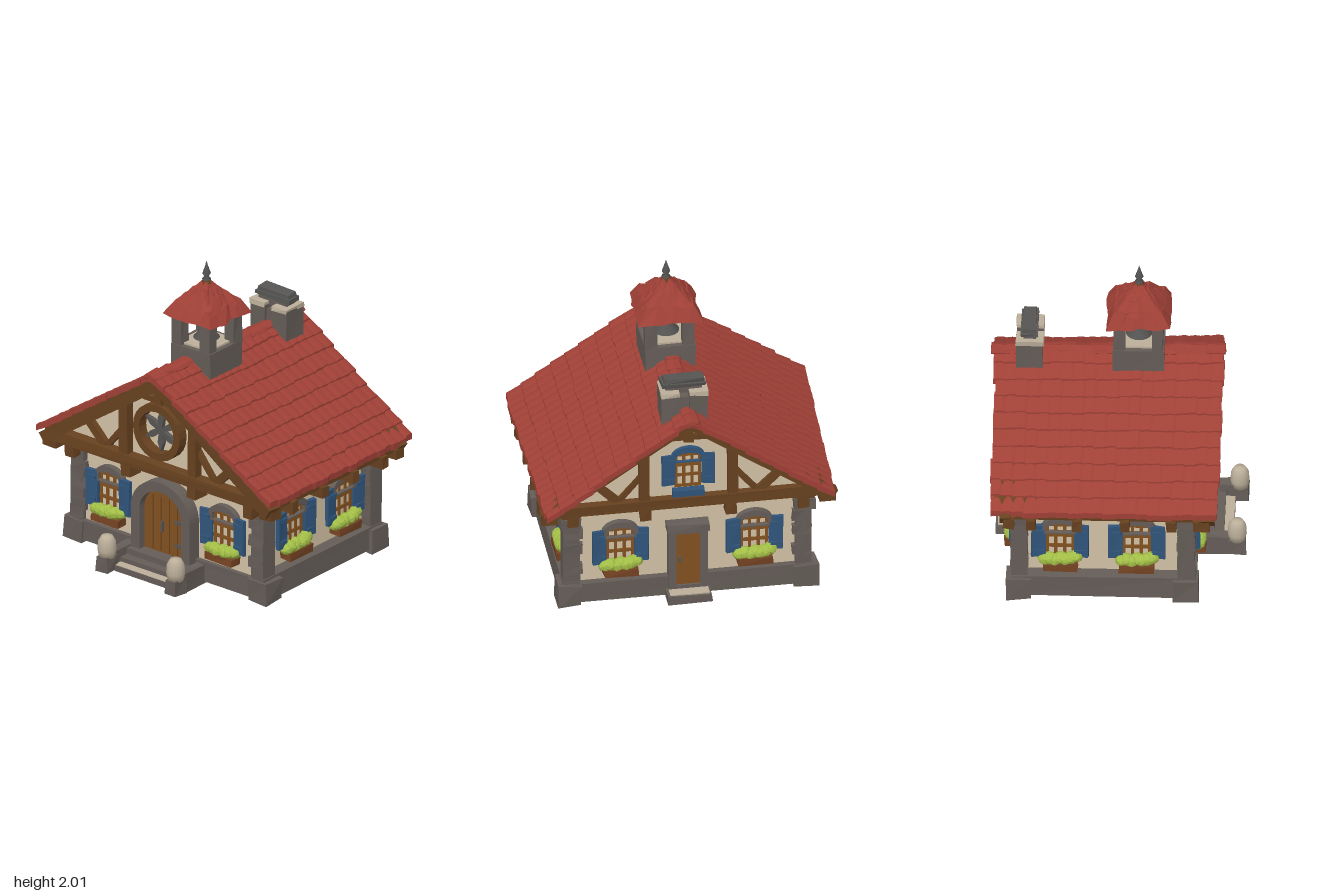
import * as THREE from 'three';

const mat = (name, color) => Object.assign(new THREE.MeshStandardMaterial({ color }), { name });
const M = {
  tile: mat('roof tile red', 0x9f4036), stone: mat('dark stone', 0x645c57), plaster: mat('cream plaster', 0xd2c1a5),
  pale: mat('pale stone', 0xbbae99), beam: mat('timber brown', 0x67411f), door: mat('door brown', 0x81501f),
  blue: mat('shutter blue', 0x30547a), leaf: mat('leaf green', 0xa1bd46), pot: mat('planter brown', 0x744222),
  iron: mat('iron grey', 0x565553),
};

// Repeatable value in -1..1
const hash = (a, b = 0, c = 0) => {
  const s = Math.sin(a * 127.1 + b * 311.7 + c * 74.7) * 43758.5453;
  return (s - Math.floor(s)) * 2 - 1;
};
let seed = 1;
// Hand-hewn look: shift corners a little, then facet
function rough(geo, amt) {
  const p = geo.attributes.position, k = seed++;
  for (let i = 0; i < p.count; i++) {
    const [x, y, z] = [p.getX(i), p.getY(i), p.getZ(i)].map(v => Math.round(v * 1000) / 1000 + 0);
    const h = x * 3.1 + y * 5.7 + z * 9.3 + k;
    p.setXYZ(i, x + amt * hash(h, 1), y + amt * hash(h, 2), z + amt * hash(h, 3));
  }
  const g = geo.index ? geo.toNonIndexed() : geo;
  g.computeVertexNormals();
  return g;
}
function add(parent, name, geo, material, x = 0, y = 0, z = 0) {
  const m = new THREE.Mesh(geo, material);
  m.name = name;
  m.position.set(x, y, z);
  parent.add(m);
  return m;
}
// Box given by its limits
function box(parent, name, material, x0, x1, y0, y1, z0, z1, amt = 0) {
  const g = new THREE.BoxGeometry(x1 - x0, y1 - y0, z1 - z0);
  return add(parent, name, amt ? rough(g, amt) : g, material, (x0 + x1) / 2, (y0 + y1) / 2, (z0 + z1) / 2);
}
// Beam between two points in the xy plane
function strut(parent, name, x1, y1, x2, y2, w, z0, z1) {
  const g = rough(new THREE.BoxGeometry(Math.hypot(x2 - x1, y2 - y1), w, z1 - z0), 0.004);
  add(parent, name, g, M.beam, (x1 + x2) / 2, (y1 + y2) / 2, (z0 + z1) / 2).rotation.z = Math.atan2(y2 - y1, x2 - x1);
}
const poly = pts => new THREE.Shape(pts.map(p => new THREE.Vector2(...p)));
const lathe = (pts, n) => new THREE.LatheGeometry(pts.map(p => new THREE.Vector2(...p)), n);
const extrude = (shape, depth) => new THREE.ExtrudeGeometry(shape, { depth, bevelEnabled: false, curveSegments: 12 });
// Upright outline with a rounded head
function arch(half, y0, spring, rise) {
  const s = new THREE.Shape();
  s.moveTo(-half, y0); s.lineTo(half, y0); s.lineTo(half, spring);
  s.absellipse(0, spring, half, rise, 0, Math.PI, false);
  s.lineTo(-half, y0);
  return s;
}
function archRing(outer, inner) {
  const s = arch(...outer);
  s.holes.push(arch(...inner));
  return s;
}
const roofY = x => 1.395 - 0.675 * Math.abs(x);

// Window facing +z with shutters and a flower box
function makeWindow(parent, x, z, turn, gable = false) {
  const g = new THREE.Group();
  g.name = gable ? 'gableWindow' : 'window';
  add(g, 'windowHead', extrude(archRing([0.115, 0.46, 0.5, 0.08], [0.085, 0.47, 0.5, 0.035]), 0.04), gable ? M.blue : M.stone);
  add(g, 'windowPane', extrude(arch(0.09, 0.26, 0.5, 0.035), 0.008), M.plaster);
  for (const bx of [-0.08, -0.028, 0.028, 0.08]) box(g, 'windowBar', M.door, bx - 0.01, bx + 0.01, 0.26, 0.53, 0, 0.016);
  for (const by of [0.27, 0.355, 0.435, 0.515]) box(g, 'windowBar', M.door, -0.09, 0.09, by - 0.011, by + 0.011, 0, 0.018);
  for (const s of [-1, 1]) {
    const sh = box(g, 'shutter', M.blue, s * 0.135 - 0.045, s * 0.135 + 0.045, 0.285, 0.525, 0.02, 0.045, 0.004);
    sh.rotation.y = -s * 0.15;
    for (const y of [0.33, 0.48]) box(g, 'shutterBatten', M.blue, s * 0.135 - 0.035, s * 0.135 + 0.035, y - 0.012, y + 0.012, 0.04, 0.054);
  }
  box(g, 'flowerBox', gable ? M.blue : M.pot, -0.11, 0.11, 0.2, 0.25, 0, 0.085, 0.006);
  if (!gable) {
    for (let i = 0; i < 7; i++) {
      const f = add(g, 'flowers', rough(new THREE.IcosahedronGeometry(0.042, 1), 0.003), M.leaf,
        -0.095 + i * 0.032, 0.278 + 0.012 * hash(i, 4), 0.046 + 0.014 * hash(i, 9));
      f.scale.set(1.1, 0.95, 1.1);
    }
    add(g, 'innerFrame', extrude(archRing([0.1, 0.25, 0.5, 0.05], [0.082, 0.27, 0.5, 0.032]), 0.008), M.door, 0, 0, -0.048);
  }
  g.position.set(x, 0, z);
  g.rotation.y = turn;
  parent.add(g);
  return g;
}

// Timber-framed gable facing +z, standing proud of the wall
function makeGable(parent, front) {
  const g = new THREE.Group();
  g.name = front ? 'frontGable' : 'backGable';
  add(g, 'gablePanel', extrude(poly([[-0.8, 0.71], [0.8, 0.71], [0.8, roofY(0.8) - 0.06], [0, 1.335], [-0.8, roofY(0.8) - 0.06]]), 0.06), M.plaster);
  box(g, 'tieBeam', M.beam, -0.86, 0.86, 0.685, 0.755, 0.03, 0.135, 0.005);
  box(g, 'innerTieBeam', M.beam, -0.67, 0.67, 0.68, 0.74, -0.075, -0.04);
  strut(g, 'kingPost', 0, 1.16, 0, 1.34, 0.06, 0.05, 0.12);
  strut(g, 'collar', -0.13, 1.185, 0.13, 1.185, 0.035, 0.05, 0.1);
  for (const s of [-1, 1]) {
    strut(g, 'rafter', 0, 1.31, s * 0.92, 0.684, 0.075, 0.05, 0.15);
    strut(g, 'post', s * 0.28, 0.73, s * 0.28, 1.14, 0.066, 0.05, 0.12);
    strut(g, 'brace', s * 0.63, 0.93, s * 0.45, 0.75, 0.055, 0.05, 0.1);
    strut(g, 'brace', s * 0.3, 0.92, s * 0.44, 0.75, 0.035, 0.05, 0.09);
    for (const x of [0.27, 0.73]) box(g, 'bracket', M.beam, s * x - 0.035, s * x + 0.035, 0.595, 0.7, 0, 0.11, 0.005);
    box(g, 'eaveBracket', M.beam, s * 0.88 - 0.05, s * 0.88 + 0.05, 0.63, 0.7, 0.02, 0.12, 0.005);
  }
  if (front) {
    const ring = new THREE.Shape().absarc(0, 0, 0.19, 0, Math.PI * 2);
    ring.holes.push(new THREE.Path().absarc(0, 0, 0.14, 0, Math.PI * 2));
    add(g, 'roundWindowFrame', extrude(ring, 0.08), M.beam, 0, 0.98, 0.05);
    const star = Array.from({ length: 24 }, (_, i) => {
      const a = i * Math.PI / 12 + Math.PI / 2, r = [0.145, 0.085, 0.028, 0.085][i % 4];
      return [r * Math.cos(a), r * Math.sin(a)];
    });
    add(g, 'roundWindowSpokes', extrude(poly(star), 0.03), M.iron, 0, 0.98, 0.06);
  } else {
    const w = makeWindow(g, 0, 0.06, 0, true);
    w.scale.setScalar(0.93);
    w.position.y = 0.575;
    g.rotation.y = Math.PI;
    g.scale.z = 0.7;
  }
  g.position.z = front ? 0.47 : -0.62;
  parent.add(g);
}

// One overlapping course of tiles on side s
function tileCourse(s, i, n) {
  const tiles = 20, per = 4, g = new THREE.BoxGeometry(1, 1, 1, 1, 1, tiles * per), p = g.attributes.position;
  for (let k = 0; k < p.count; k++) {
    const low = s * p.getX(k) > 0, top = p.getY(k) > 0, w = p.getZ(k) + 0.5;
    const tile = Math.min(tiles - 1, Math.floor(w * tiles + 0.01)), f = w * tiles - tile;
    const x = low ? (i + 1) * 0.935 / n + 0.012 + 0.005 * hash(tile, i, s) : i * 0.935 / n - (i ? 0.015 : 0);
    const y = roofY(x) + (low ? 0.011 : -0.004) - (top ? 0 : 0.04) + 0.005 * Math.sin(Math.PI * f) + 0.002 * hash(tile, s, i);
    const front = 0.66 - x * (s > 0 ? 0.05 : 0.02) + 0.008 * hash(i, s), back = -0.78 - (s > 0 ? x * 0.03 : 0) + 0.01 * hash(i, s, 5);
    p.setXYZ(k, s * x * (0.97 + 0.035 * w), y - 0.018 + 0.024 * w * w, back + (front - back) * w);
  }
  const out = g.toNonIndexed();
  out.computeVertexNormals();
  return out;
}

function makeTower(parent) {
  const t = new THREE.Group();
  t.name = 'bellTower';
  box(t, 'towerBase', M.stone, -0.16, 0.16, 1.22, 1.45, -0.16, 0.16, 0.006);
  box(t, 'towerLedge', M.pale, -0.125, 0.125, 1.445, 1.46, -0.125, 0.125);
  for (const sx of [-1, 1]) for (const sz of [-1, 1])
    box(t, 'towerPillar', M.stone, sx * 0.118 - 0.038, sx * 0.118 + 0.038, 1.44, 1.68, sz * 0.118 - 0.038, sz * 0.118 + 0.038, 0.006);
  for (let i = 0; i < 4; i++) {
    const s = poly([[-0.1, 1.585], [-0.085, 1.585]]);
    s.absellipse(0, 1.585, 0.085, 0.055, Math.PI, 0, true);
    s.lineTo(0.1, 1.585); s.lineTo(0.1, 1.68); s.lineTo(-0.1, 1.68);
    const g = extrude(s, 0.04);
    g.translate(0, 0, 0.1);
    add(t, 'towerArch', g, M.stone).rotation.y = i * Math.PI / 2;
  }
  box(t, 'bellBeam', M.beam, -0.12, 0.12, 1.615, 1.64, -0.015, 0.015);
  const bell = [[0, 1.55], [0.07, 1.48], [0.084, 1.48], [0.052, 1.515], [0.044, 1.56], [0.032, 1.59], [0.012, 1.6], [0.01, 1.63]];
  add(t, 'bell', lathe(bell, 20), M.iron);
  add(t, 'clapper', new THREE.SphereGeometry(0.02, 10, 8), M.iron, 0, 1.48, 0);
  // Square courses narrowing upward
  [[0.212, 0.155, 1.645, 1.735], [0.172, 0.1, 1.71, 1.785], [0.12, 0.06, 1.76, 1.83], [0.075, 0.018, 1.805, 1.87]].forEach(([r0, r1, y0, y1], j) => {
    const g = new THREE.CylinderGeometry(r1, r0, y1 - y0, 24), p = g.attributes.position;
    for (let k = 0; k < p.count; k++) {
      const x = p.getX(k), z = p.getZ(k), r = Math.hypot(x, z), m = Math.max(Math.abs(x), Math.abs(z));
      if (m > 1e-5) p.setXYZ(k, x * r / m * 0.95, p.getY(k), z * r / m * 0.95);
    }
    add(t, 'towerRoofCourse', rough(g, 0.011 - j * 0.002), M.tile, 0, (y0 + y1) / 2, 0);
  });
  add(t, 'finial', lathe([[0.024, 1.85], [0.028, 1.88], [0.014, 1.895], [0.027, 1.915], [0.012, 1.96], [0, 2]], 8), M.iron);
  add(t, 'finialCollar', new THREE.CylinderGeometry(0.022, 0.036, 0.03, 8), M.beam, 0, 1.865, 0);
  t.position.set(0.012, 0, 0.122);
  parent.add(t);
}

export function createModel() {
  const house = new THREE.Group();
  house.name = 'house';

  // Open stone footing, plaster walls and corner pillars
  for (const s of [-1, 1]) {
    box(house, 'sideFooting', M.stone, s * 0.74 - 0.055, s * 0.74 + 0.055, 0.01, 0.165, -0.66, 0.5, 0.006);
    box(house, 'sideWall', M.plaster, s * 0.69 - 0.02, s * 0.69 + 0.02, 0.1, 0.86, -0.61, 0.46);
    box(house, 'innerWallPlate', M.beam, s * 0.655 - 0.017, s * 0.655 + 0.017, 0.68, 0.74, -0.58, 0.43);
    for (const z of [0.44, -0.605]) {
      box(house, 'cornerBlock', M.stone, s * 0.75 - 0.075, s * 0.75 + 0.075, 0, 0.15, z - 0.08, z + 0.08, 0.008);
      box(house, 'cornerPillar', M.stone, s * 0.735 - 0.053, s * 0.735 + 0.053, 0.14, 0.6, z - 0.053, z + 0.053, 0.005);
      for (const y of [0.22, 0.37, 0.48])
        box(house, 'quoin', M.stone, s * 0.723 - 0.06, s * 0.723 + 0.06, y, y + 0.07, z - 0.056, z + 0.056, 0.006);
      box(house, 'pillarCap', M.stone, s * 0.74 - 0.066, s * 0.74 + 0.066, 0.56, 0.64, z - 0.066, z + 0.066, 0.006);
      box(house, 'pillarBlock', M.beam, s * 0.74 - 0.06, s * 0.74 + 0.06, 0.63, 0.72, z - 0.06, z + 0.06);
    }
    box(house, 'eavePurlin', M.beam, s * 0.86 - 0.045, s * 0.86 + 0.045, 0.675, 0.74, -0.7, 0.6, 0.005);
    for (const z of [0.35, 0.06, -0.24, -0.53]) box(house, 'eaveBracket', M.beam, s * 0.815 - 0.115, s * 0.815 + 0.115, 0.615, 0.69, z - 0.03, z + 0.03, 0.005);
    for (const z of [0.13, -0.35]) makeWindow(house, s * 0.71, z, s * Math.PI / 2);
    makeWindow(house, s * 0.465, 0.47, 0);
    makeWindow(house, s * 0.425, -0.62, Math.PI);
  }
  box(house, 'frontFooting', M.stone, -0.79, 0.79, 0.01, 0.15, 0.4, 0.5, 0.006);
  box(house, 'backFooting', M.stone, -0.79, 0.79, 0.01, 0.15, -0.67, -0.57, 0.006);
  const wall = poly([[-0.7, 0.1], [0.7, 0.1], [0.7, 0.86], [0, 1.335], [-0.7, 0.86]]);
  add(house, 'frontWall', extrude(wall, 0.04), M.plaster, 0, 0, 0.43);
  add(house, 'backWall', extrude(wall, 0.04), M.plaster, 0, 0, -0.62);
  makeGable(house, true);
  makeGable(house, false);

  // Arched front door, with its inner stone rim
  add(house, 'doorArch', extrude(archRing([0.24, 0.1, 0.4, 0.22], [0.17, 0.12, 0.4, 0.155]), 0.1), M.stone, 0, 0, 0.46);
  add(house, 'innerDoorArch', extrude(archRing([0.21, 0.1, 0.4, 0.19], [0.17, 0.12, 0.4, 0.155]), 0.015), M.stone, 0, 0, 0.418);
  add(house, 'frontDoor', extrude(arch(0.172, 0.11, 0.4, 0.157), 0.09), M.door, 0, 0, 0.42);
  for (const x of [-0.1, -0.035, 0.035, 0.1]) for (const z of [0.417, 0.51])
    box(house, 'plankSeam', M.beam, x - 0.003, x + 0.003, 0.13, 0.5, z, z + 0.004);
  for (const y of [0.2, 0.36]) box(house, 'doorHinge', M.iron, 0.08, 0.165, y - 0.012, y + 0.012, 0.51, 0.519);
  box(house, 'doorHandle', M.iron, -0.025, -0.01, 0.27, 0.34, 0.51, 0.53);

  // Front steps with rounded end stones
  [[0.6, 0.12], [0.66, 0.08], [0.72, 0.045]].forEach(([z, h]) => box(house, 'frontStep', M.stone, -0.25, 0.25, 0.005, h, 0.48, z));
  box(house, 'lowerTread', M.pale, -0.245, 0.245, 0.045, 0.049, 0.66, 0.718);
  for (const s of [-1, 1]) {
    box(house, 'stepCheek', M.stone, s * 0.28 - 0.035, s * 0.28 + 0.035, 0.005, 0.13, 0.48, 0.7, 0.006);
    box(house, 'endStoneBase', M.stone, s * 0.28 - 0.045, s * 0.28 + 0.045, 0.01, 0.11, 0.69, 0.8, 0.006);
    const cap = lathe([[0, 0.09], [0.05, 0.1], [0.06, 0.15], [0.056, 0.21], [0.036, 0.245], [0, 0.252]], 14);
    add(house, 'endStone', cap, M.pale, s * 0.28, 0, 0.745);
  }

  // Back door and step
  const frame = poly([[-0.125, 0.06], [0.125, 0.06], [0.125, 0.53], [-0.125, 0.53]]);
  frame.holes.push(poly([[-0.075, 0.09], [0.075, 0.09], [0.075, 0.47], [-0.075, 0.47]]));
  add(house, 'backDoorFrame', extrude(frame, 0.09), M.stone, 0, 0, -0.69);
  box(house, 'backDoor', M.door, -0.08, 0.08, 0.08, 0.48, -0.676, -0.57);
  box(house, 'backDoorHandle', M.iron, 0.045, 0.06, 0.26, 0.3, -0.69, -0.67);
  box(house, 'backDoorLintel', M.stone, -0.135, 0.135, 0.49, 0.54, -0.695, -0.61, 0.005);
  box(house, 'backStep', M.stone, -0.14, 0.14, 0, 0.06, -0.77, -0.63, 0.005);
  box(house, 'backTread', M.pale, -0.125, 0.125, 0.058, 0.066, -0.76, -0.685);

  // Roof deck, tile courses and ridge
  const n = 10;
  for (const s of [-1, 1]) {
    const deck = [[0, 1.345], [0, 1.38], [0.9, roofY(0.9) - 0.015], [0.9, roofY(0.9) - 0.055]].map(([x, y]) => [s * x, y]);
    add(house, 'roofDeck', extrude(poly(deck), 1.37), M.beam, 0, -0.016, -0.76);
    for (let i = 0; i < n; i++) add(house, 'roofTiles', tileCourse(s, i, n), M.tile);
  }
  for (let i = 0; i < 14; i++) {
    const g = new THREE.CylinderGeometry(0.05, 0.055, 0.115, 8);
    g.rotateX(Math.PI / 2);
    g.scale(1, 0.5, 1);
    add(house, 'ridgeTile', rough(g, 0.004), M.tile, 0.01 * hash(i), 1.35 + i * i * 0.00016, -0.745 + i * 0.104);
  }

  // Chimney with two stacks and a raised slab
  for (const s of [-1, 1]) {
    box(house, 'chimneyStack', M.stone, 0.015 + s * 0.09 - 0.058, 0.015 + s * 0.09 + 0.058, 1.24, 1.475, -0.645, -0.475, 0.006);
    box(house, 'chimneyRim', M.pale, 0.015 + s * 0.09 - 0.06, 0.015 + s * 0.09 + 0.06, 1.465, 1.495, -0.648, -0.472, 0.004);
  }
  box(house, 'chimneyCore', M.stone, -0.06, 0.09, 1.24, 1.45, -0.62, -0.5);
  box(house, 'chimneyFlue', M.stone, -0.1, 0.13, 1.47, 1.53, -0.6, -0.52);
  box(house, 'chimneySlab', M.iron, -0.125, 0.155, 1.52, 1.545, -0.615, -0.505, 0.006);
  box(house, 'chimneySlab', M.iron, -0.11, 0.14, 1.54, 1.572, -0.605, -0.52, 0.006);

  makeTower(house);
  return house;
}
